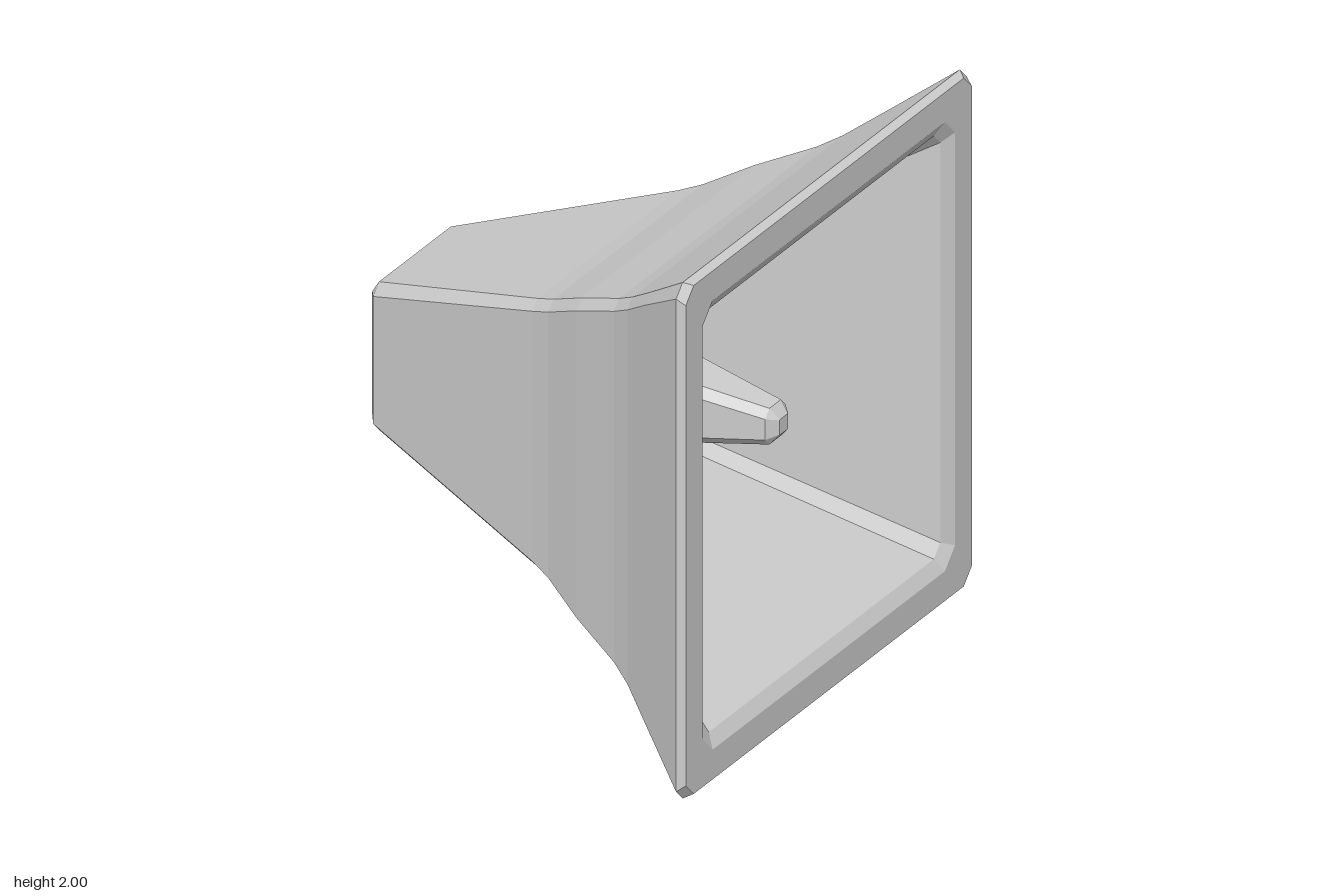
import * as THREE from 'three';

// Chamfered-square cross-section, half width h and corner cut c, as [y, z] pairs
function section(h, c) {
  const k = h - c;
  return [[h, -k], [h, k], [k, h], [-k, h], [-h, k], [-h, -k], [-k, -h], [k, -h]];
}

// Skin chamfered squares along x; each row is [x, half width, chamfer]
function loft(name, rows, material) {
  const rings = rows.map(([x, h, c]) => section(h, c).map(([y, z]) => [x, y, z]));
  const positions = [];
  for (let i = 0; i < rings.length - 1; i++) {
    for (let j = 0; j < 8; j++) {
      const n = (j + 1) % 8;
      const a = rings[i][j], b = rings[i][n], c = rings[i + 1][n], d = rings[i + 1][j];
      if (rows[i][1] > 0) positions.push(...a, ...b, ...c, ...(rows[i + 1][1] > 0 ? [...a, ...c, ...d] : []));
      else positions.push(...a, ...c, ...d);
    }
  }
  const geometry = new THREE.BufferGeometry();
  geometry.setAttribute('position', new THREE.Float32BufferAttribute(positions, 3));
  geometry.computeVertexNormals();
  const mesh = new THREE.Mesh(geometry, material);
  mesh.name = name;
  mesh.position.y = 1;
  return mesh;
}

export function createModel() {
  const group = new THREE.Group();
  group.name = 'squareHorn';
  const material = new THREE.MeshStandardMaterial({ color: 0xcccccc, flatShading: true });

  // Flared shell: rear cap, outer wall, rim, inner wall and throat floor
  group.add(loft('hornShell', [
    [-0.845, 0, 0],
    [-0.845, 0.242, 0.005],
    [-0.815, 0.287, 0.04],
    [-0.04, 0.52, 0.035],
    [0.04, 0.55, 0.035],
    [0.2, 0.63, 0.035],
    [0.4, 0.715, 0.035],
    [0.48, 0.76, 0.035],
    [0.6, 0.845, 0.035],
    [0.815, 1.0, 0.045],
    [0.845, 0.985, 0.055],
    [0.845, 0.87, 0.07],
    [0.815, 0.82, 0.045],
    [-0.25, 0.235, 0.04],
    [-0.25, 0.21, 0.04],
  ], material));

  // Tapered plug standing in the throat
  group.add(loft('centrePlug', [
    [-0.25, 0.21, 0.04],
    [0.63, 0.07, 0.03],
    [0.665, 0.03, 0.002],
    [0.665, 0, 0],
  ], material));

  return group;
}
